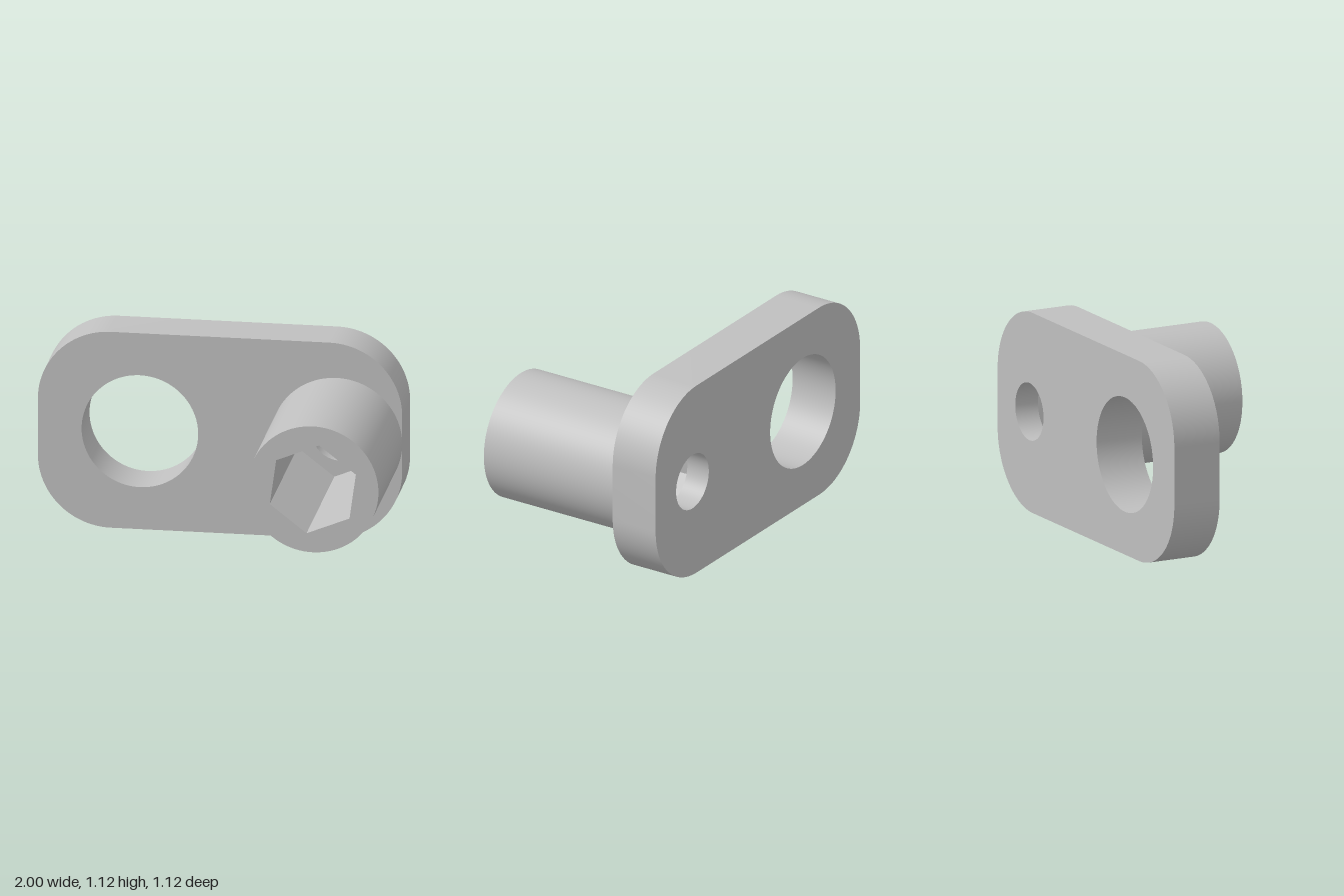
import * as THREE from 'three';
import { toCreasedNormals } from 'three/addons/utils/BufferGeometryUtils.js';

const BACK = -0.56, FLOOR = -0.42, FRONT = -0.28, TIP = 0.56;

// Counter-clockwise points of a circle or regular polygon
function ring(x, y, r, n, start = 0) {
  return Array.from({ length: n }, (_, i) => {
    const a = start + (i / n) * Math.PI * 2;
    return new THREE.Vector2(x + r * Math.cos(a), y + r * Math.sin(a));
  });
}

// Counter-clockwise points of a rectangle with rounded corners
function roundedOutline(halfW, halfH, cy, r, steps) {
  const points = [];
  [[1, 1], [-1, 1], [-1, -1], [1, -1]].forEach(([sx, sy], k) => {
    for (let i = 0; i <= steps; i++) {
      const a = (k + i / steps) * Math.PI / 2;
      points.push(new THREE.Vector2(
        sx * (halfW - r) + r * Math.cos(a), cy + sy * (halfH - r) + r * Math.sin(a)));
    }
  });
  return points;
}

// Flat face at depth z, looking forward or backward
function face(outline, holes, z, backward = false) {
  const shape = new THREE.Shape(outline);
  shape.holes = holes.map((h) => new THREE.Path(h));
  const geometry = new THREE.ShapeGeometry(shape);
  geometry.translate(0, 0, z);
  if (backward) {
    geometry.setIndex(Array.from(geometry.index.array).reverse());
    geometry.computeVertexNormals();
  }
  return geometry;
}

// Wall swept along z around a closed loop; inward for the sides of a hole
function wall(loop, z0, z1, inward = false) {
  const points = inward ? [...loop].reverse() : loop;
  const v = [];
  points.forEach((p, i) => {
    const q = points[(i + 1) % points.length];
    v.push(p.x, p.y, z0, q.x, q.y, z0, q.x, q.y, z1);
    v.push(p.x, p.y, z0, q.x, q.y, z1, p.x, p.y, z1);
  });
  const geometry = new THREE.BufferGeometry();
  geometry.setAttribute('position', new THREE.Float32BufferAttribute(v, 3));
  return toCreasedNormals(geometry, 0.5);
}

export function createModel() {
  const model = new THREE.Group();
  model.name = 'crankLink';
  const steel = new THREE.MeshStandardMaterial({ color: 0xbfbfbf });
  steel.name = 'plain grey';

  const outline = roundedOutline(1, 0.56, 0.56, 0.4, 24);
  const largeHole = ring(-0.44, 0.56, 0.32, 96);
  const smallHole = ring(0.64, 0.56, 0.16, 64);
  const bossCircle = ring(0.64, 0.56, 0.36, 96);
  const hexagon = ring(0.64, 0.56, 0.255, 6, THREE.MathUtils.degToRad(22.2));

  const part = (name, geometries) => {
    const group = new THREE.Group();
    group.name = name;
    for (const [label, geometry] of Object.entries(geometries)) {
      const mesh = new THREE.Mesh(geometry, steel);
      mesh.name = label;
      group.add(mesh);
    }
    model.add(group);
  };

  // Link plate with its large through hole
  part('plate', {
    plateBack: face(outline, [largeHole, smallHole], BACK, true),
    plateFront: face(outline, [largeHole, hexagon], FRONT),
    plateRim: wall(outline, BACK, FRONT),
    largeHoleWall: wall(largeHole, BACK, FRONT, true),
  });

  // Round boss standing forward from the plate
  part('boss', {
    bossSide: wall(bossCircle, FRONT, TIP),
    bossEnd: face(bossCircle, [hexagon], TIP),
  });

  // Hexagonal socket that narrows to a round hole inside the plate
  part('socket', {
    socketWall: wall(hexagon, FLOOR, TIP, true),
    socketFloor: face(hexagon, [smallHole], FLOOR),
    smallHoleWall: wall(smallHole, BACK, FLOOR, true),
  });

  return model;
}
